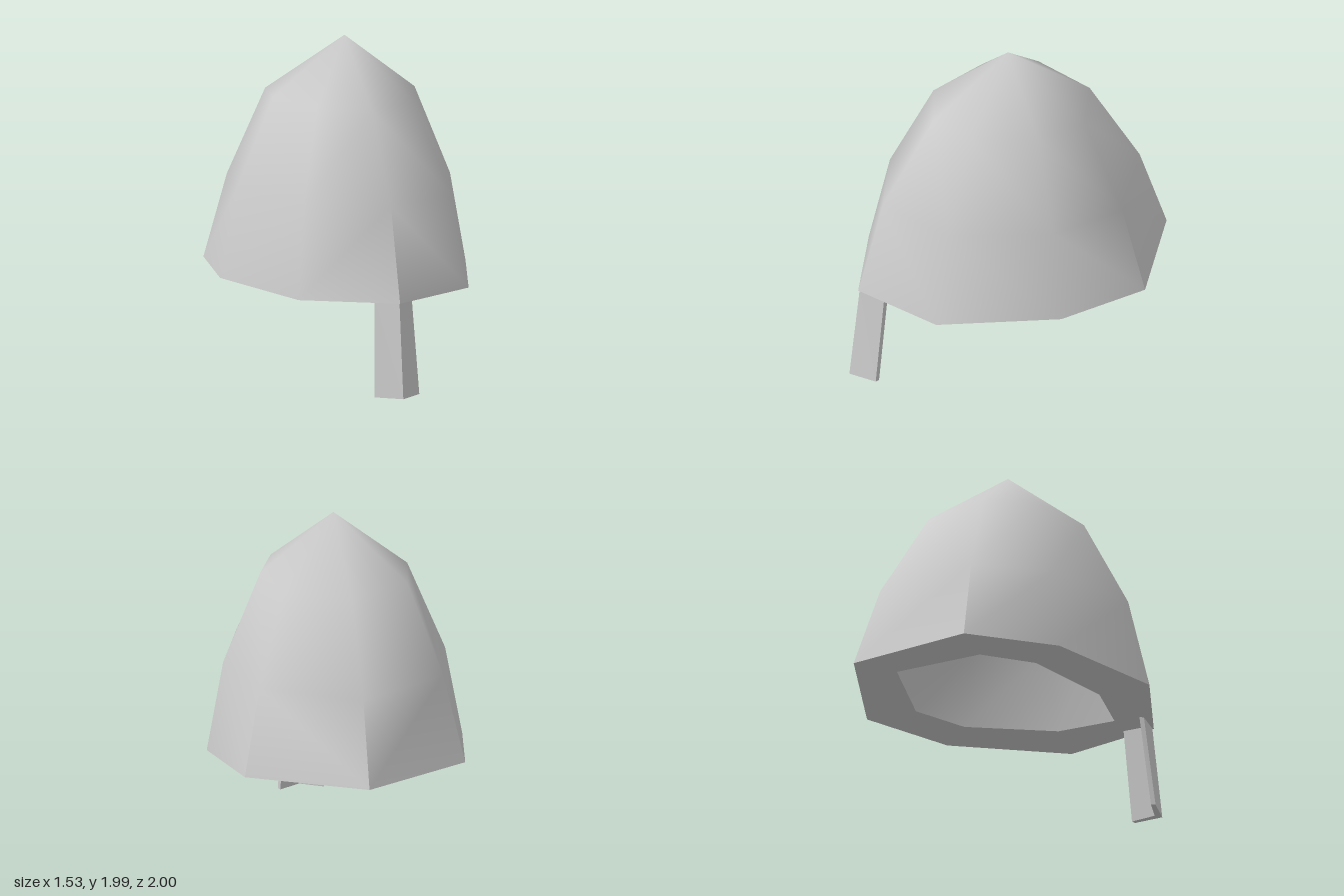
import * as THREE from 'three';

const steel = new THREE.MeshStandardMaterial({ color: 0xcccccc });
steel.name = 'steel grey';

// Half outline [x, y, z] from the front round to the back, mirrored to eight corners
const ring = (half) => [
  ...half,
  ...half.slice(1, -1).reverse().map(([x, y, z]) => [-x, y, z]),
];

const rim = ring([[0, 0.56, 0.945], [0.53, 0.565, 0.665], [0.765, 0.58, -0.03], [0.66, 0.59, -0.6], [0, 0.595, -1]]);
const brow = ring([[0, 1.11, 0.79], [0.46, 1.11, 0.56], [0.665, 1.11, -0.02], [0.55, 1.1, -0.5], [0, 1.09, -0.83]]);
const crown = ring([[0, 1.62, 0.47], [0.3, 1.63, 0.35], [0.44, 1.645, -0.01], [0.37, 1.63, -0.34], [0, 1.62, -0.515]]);
const innerRim = ring([[0, 0.56, 0.69], [0.28, 0.565, 0.46], [0.49, 0.58, -0.05], [0.435, 0.59, -0.39], [0, 0.595, -0.72]]);
const innerBrow = ring([[0, 1.05, 0.54], [0.24, 1.05, 0.38], [0.41, 1.05, -0.03], [0.34, 1.05, -0.33], [0, 1.05, -0.57]]);
const innerCrown = ring([[0, 1.46, 0.28], [0.17, 1.47, 0.2], [0.26, 1.48, -0.01], [0.21, 1.47, -0.2], [0, 1.46, -0.31]]);

// Join rings bottom to top, with an optional apex; corners in "hard" are creased on the first ring
function loft(rings, { apex = null, hard = [], inward = false } = {}) {
  const n = 8;
  const points = rings.flat();
  const faces = [];
  const tri = (a, b, c) => faces.push(...(inward ? [a, c, b] : [a, b, c]));
  const spare = points.length;
  points.push(...rings[0]); // second copies for creased corners
  for (let r = 0; r < rings.length; r++) {
    for (let i = 0; i < n; i++) {
      const j = (i + 1) % n;
      const a = r * n + i;
      const b = r === 0 && hard.includes(j) ? spare + j : r * n + j;
      if (r < rings.length - 1) {
        const c = (r + 1) * n + j, d = (r + 1) * n + i;
        // Mirrored diagonals keep both sides alike
        if (i < n / 2) { tri(a, b, d); tri(b, c, d); }
        else { tri(a, b, c); tri(a, c, d); }
      } else if (apex) {
        tri(a, b, spare + n);
      }
    }
  }
  if (apex) points.push(apex);
  const geometry = new THREE.BufferGeometry();
  geometry.setAttribute('position', new THREE.Float32BufferAttribute(points.flat(), 3));
  geometry.setIndex(faces);
  geometry.computeVertexNormals();
  return geometry;
}

// V-shaped plate, leaning back and narrowing upwards
function noseGuardGeometry() {
  const outline = [[0, 1], [0.14, 0.89], [0.13, 0.865], [0, 0.95], [-0.13, 0.865], [-0.14, 0.89]];
  const shape = new THREE.Shape(outline.map(([x, z]) => new THREE.Vector2(x, -z)));
  const geometry = new THREE.ExtrudeGeometry(shape, { depth: 0.575, bevelEnabled: false });
  geometry.rotateX(-Math.PI / 2);
  const p = geometry.attributes.position;
  for (let i = 0; i < p.count; i++) {
    const y = p.getY(i);
    p.setX(i, p.getX(i) * (1 - 0.3 * y));
    p.setZ(i, p.getZ(i) - 0.115 * y);
  }
  geometry.computeVertexNormals();
  return geometry;
}

export function createModel() {
  const helmet = new THREE.Group();
  helmet.name = 'helmet';
  const add = (name, geometry) => {
    const mesh = new THREE.Mesh(geometry, steel);
    mesh.name = name;
    helmet.add(mesh);
  };
  add('outerDome', loft([rim, brow, crown], { apex: [0, 1.985, 0], hard: [0, 3, 4, 5] }));
  add('innerDome', loft([innerRim, innerBrow, innerCrown], { apex: [0, 1.72, 0], inward: true }));
  add('rimUnderside', loft([innerRim, rim]));
  add('noseGuard', noseGuardGeometry());
  return helmet;
}
